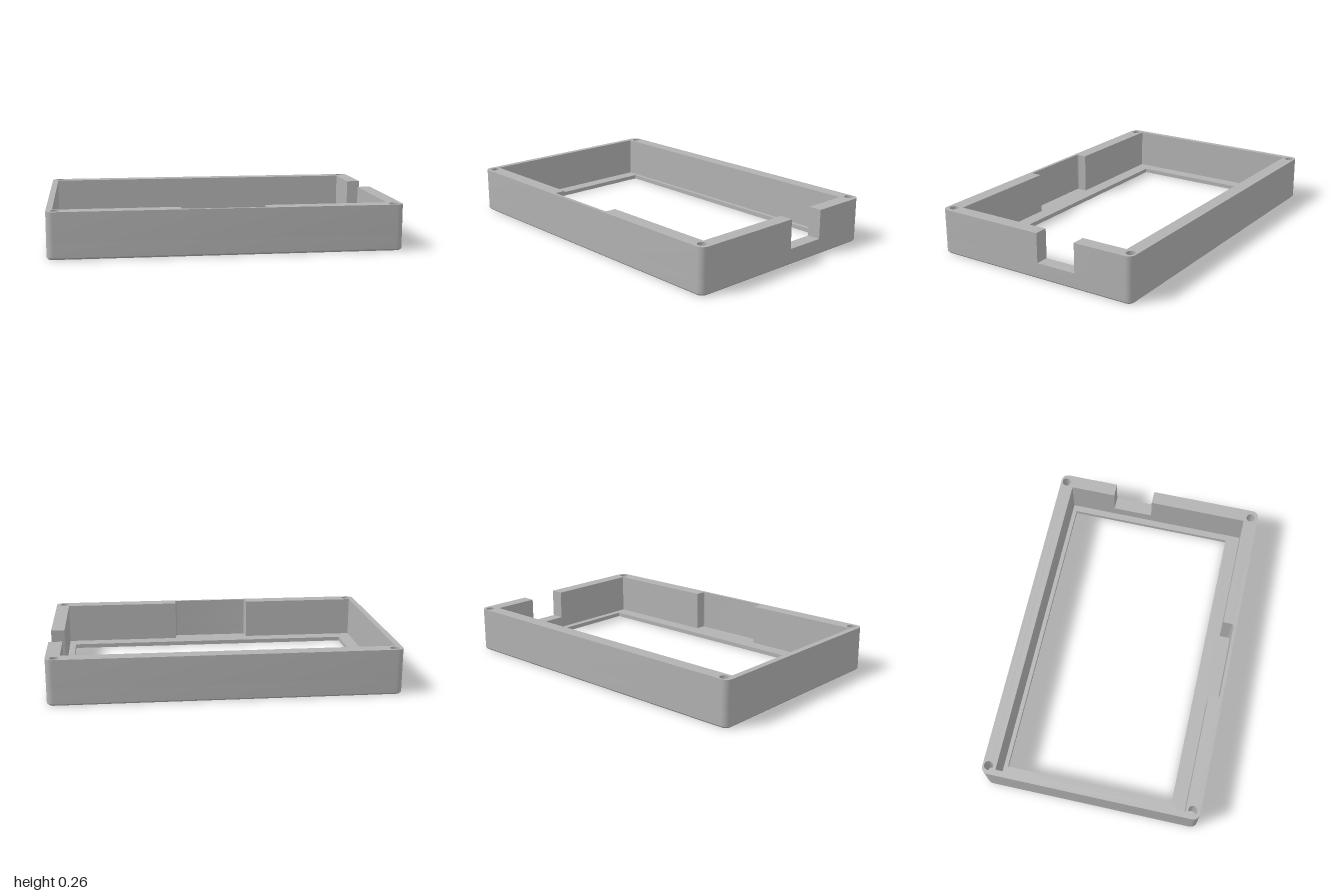
import * as THREE from 'three';
import { toCreasedNormals } from 'three/addons/utils/BufferGeometryUtils.js';

// Plan outlines use (x, -z), counter-clockwise seen from above.
const H = 0.265, FLOOR = 0.025, LEDGE = 0.093, CHAMFER = 0.01;
const HOLE_R = 0.026, HOLE_BOTTOM = 0.1;
const NOTCH = [0.04, 0.285];

// Turns corners [x, y, radius] into points, rounding right-angled corners.
function outline(corners, segments = 8) {
  const n = corners.length, pts = [];
  corners.forEach(([x, y, r = 0], i) => {
    const c = new THREE.Vector2(x, y);
    if (!r) { pts.push(c); return; }
    const d1 = c.clone().sub(new THREE.Vector2(...corners[(i + n - 1) % n])).normalize();
    const d2 = new THREE.Vector2(...corners[(i + 1) % n]).sub(c).normalize();
    const centre = c.clone().addScaledVector(d1, -r).addScaledVector(d2, r);
    for (let k = 0; k <= segments; k++) {
      const t = (k / segments) * Math.PI / 2;
      pts.push(centre.clone().addScaledVector(d2, -r * Math.cos(t)).addScaledVector(d1, r * Math.sin(t)));
    }
  });
  return pts;
}

const rect = (x0, x1, y0, y1, r = 0) => outline([[x0, y0, r], [x1, y0, r], [x1, y1, r], [x0, y1, r]]);

const circle = (cx, cy, r, n = 32) => Array.from({ length: n }, (_, i) => {
  const a = (i / n) * Math.PI * 2;
  return new THREE.Vector2(cx + r * Math.cos(a), cy + r * Math.sin(a));
});

// Band of faces between two matching loops at two heights.
function band(lower, y0, upper, y1) {
  const pos = [], n = lower.length;
  for (let i = 0; i < n; i++) {
    const j = (i + 1) % n;
    const a = [lower[i].x, y0, -lower[i].y], b = [lower[j].x, y0, -lower[j].y];
    const c = [upper[j].x, y1, -upper[j].y], d = [upper[i].x, y1, -upper[i].y];
    pos.push(...a, ...b, ...c, ...a, ...c, ...d);
  }
  const g = new THREE.BufferGeometry();
  g.setAttribute('position', new THREE.Float32BufferAttribute(pos, 3));
  return toCreasedNormals(g, 0.5);
}

// Flat horizontal face with holes, facing up or down.
function cap(points, holes, y, down = false) {
  const flip = down ? -1 : 1;
  const place = (list) => list.map((p) => new THREE.Vector2(p.x, p.y * flip));
  const shape = new THREE.Shape(place(points));
  shape.holes = holes.map((h) => new THREE.Path(place(h)));
  return new THREE.ShapeGeometry(shape).rotateX(-flip * Math.PI / 2).translate(0, y, 0);
}

export function createModel() {
  const group = new THREE.Group();
  group.name = 'enclosureFrame';
  const grey = new THREE.MeshStandardMaterial({ color: 0xb2b2b2 });
  grey.name = 'grey plastic';
  const add = (name, geometry) => {
    const mesh = new THREE.Mesh(geometry, grey);
    mesh.name = name;
    group.add(mesh);
  };
  const reversed = (loop) => [...loop].reverse();

  const outer = rect(-1, 1, -0.64, 0.64, 0.04);
  const foot = rect(-1 + CHAMFER, 1 - CHAMFER, -0.64 + CHAMFER, 0.64 - CHAMFER, 0.04 - CHAMFER);
  const windowLoop = rect(-0.885, 0.88, -0.47, 0.535);

  // Cavity corners, clockwise, with the shallow recess in the front wall
  const cavityCorners = [
    [0.92, -0.555], [0.215, -0.555], [0.215, -0.62, 0.012], [-0.26, -0.62, 0.012],
    [-0.26, -0.555], [-0.965, -0.555], [-0.965, 0.56], [0.92, 0.56],
  ];
  const cavity = outline(cavityCorners);

  // Upper wall, interrupted by the side notch
  const upperWall = outline([
    [1, NOTCH[1]], [1, 0.64, 0.04], [-1, 0.64, 0.04], [-1, -0.64, 0.04], [1, -0.64, 0.04],
    [1, NOTCH[0]], [0.92, NOTCH[0]], ...cavityCorners, [0.92, NOTCH[1]],
  ]);

  // Screw holes in the four corners
  const holes = [];
  for (const x of [-0.95, 0.95]) for (const y of [-0.595, 0.605]) holes.push(circle(x, y, HOLE_R));

  // Base plate with its window
  add('bottomFace', cap(foot, [windowLoop], 0, true));
  add('bottomChamfer', band(foot, 0, outer, CHAMFER));
  add('windowEdge', band(reversed(windowLoop), 0, reversed(windowLoop), FLOOR));
  add('floor', cap(reversed(cavity), [windowLoop], FLOOR));

  // Walls
  add('lowerOuterWall', band(outer, CHAMFER, outer, LEDGE));
  add('lowerInnerWall', band(cavity, FLOOR, cavity, LEDGE));
  add('upperWall', band(upperWall, LEDGE, upperWall, H));
  add('notchLedge', cap(rect(0.92, 1, ...NOTCH), [], LEDGE));
  add('rim', cap(upperWall, holes, H));

  holes.forEach((h) => {
    add('screwHole', band(reversed(h), HOLE_BOTTOM, reversed(h), H));
    add('screwHoleBottom', cap(h, [], HOLE_BOTTOM));
  });
  return group;
}
